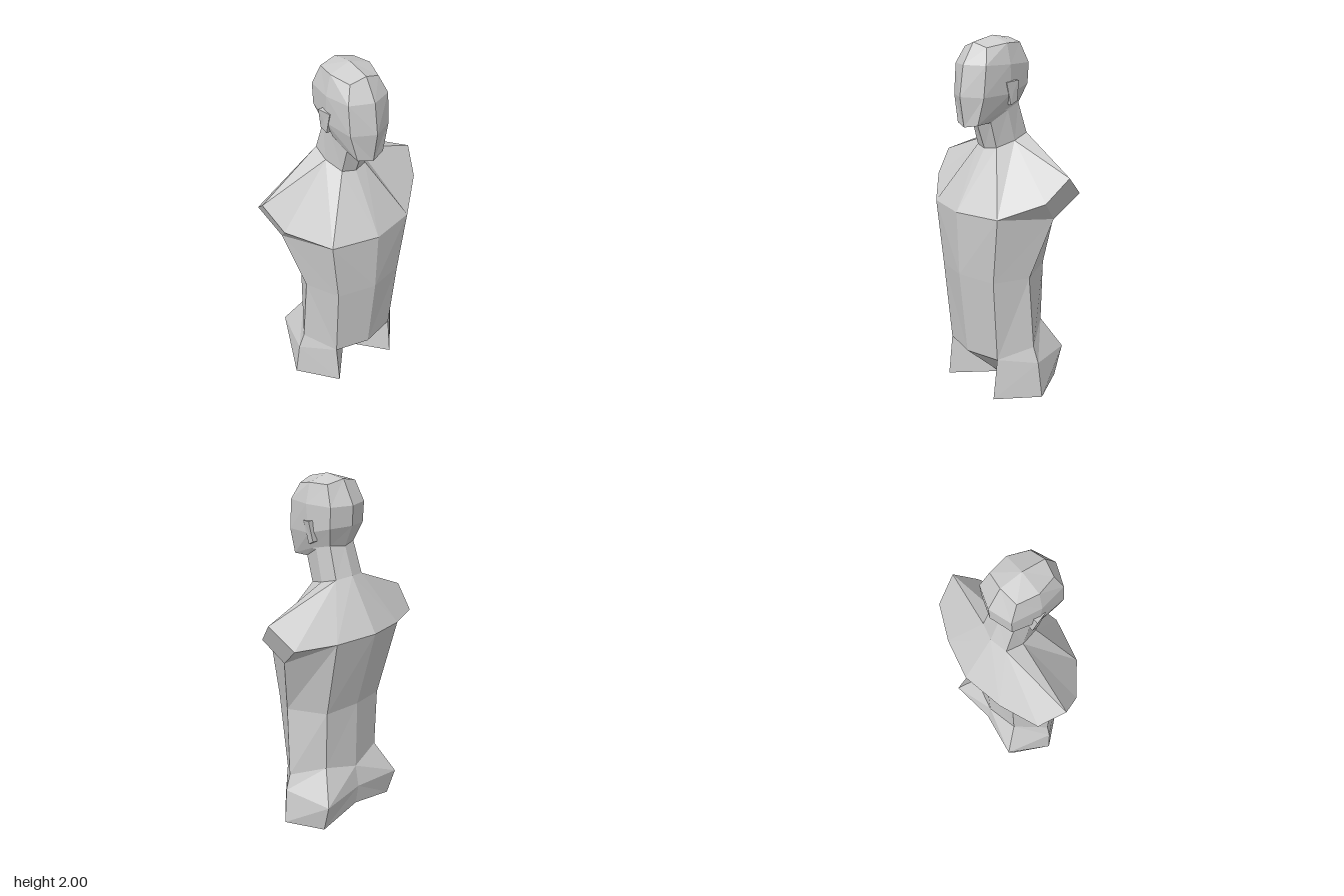
import * as THREE from 'three';

const material = new THREE.MeshStandardMaterial({ color: 0xcccccc, flatShading: true });

// Skins rows of points (top to bottom, each running front to back on the +x half)
// and mirrors the result; repeated points collapse quads into triangles.
function skin(name, rows, sides = [1, -1]) {
  const pos = [];
  const same = (p, q) => p.every((v, i) => v === q[i]);
  const tri = (p, q, r) => {
    if (same(p, q) || same(q, r) || same(p, r)) return;
    for (const s of sides) {
      for (const v of s > 0 ? [p, q, r] : [p, r, q]) pos.push(v[0] * s, v[1], v[2]);
    }
  };
  for (let i = 0; i < rows.length - 1; i++) {
    for (let j = 0; j < rows[i].length - 1; j++) {
      const a = rows[i][j], b = rows[i][j + 1];
      const e = rows[i + 1][j], d = rows[i + 1][j + 1];
      tri(a, e, b);
      tri(b, e, d);
    }
  }
  const geometry = new THREE.BufferGeometry();
  geometry.setAttribute('position', new THREE.Float32BufferAttribute(pos, 3));
  geometry.computeVertexNormals();
  const mesh = new THREE.Mesh(geometry, material);
  mesh.name = name;
  return mesh;
}

export function createModel() {
  const group = new THREE.Group();
  group.name = 'bust';

  // Rows list: front centre, front side, side, back side, back centre
  const jaw = [[0, 1.54, 0.25], [0.08, 1.555, 0.225], [0.105, 1.62, 0.06], [0.085, 1.65, -0.06], [0, 1.64, -0.085]];
  const neckTop = [[0, 1.535, 0.155], [0.075, 1.56, 0.13], [0.1, 1.62, 0.03], [0.085, 1.65, -0.06], [0, 1.64, -0.085]];
  const neckBase = [[0, 1.41, 0.11], [0.075, 1.42, 0.09], [0.105, 1.45, -0.015], [0.095, 1.48, -0.115], [0, 1.49, -0.14]];

  // Head, from crown to underside of the jaw
  group.add(skin('head', [
    Array(5).fill([0, 2, 0.05]),
    [[0, 1.97, 0.18], [0.085, 1.945, 0.165], [0.118, 1.965, 0.055], [0.098, 1.965, -0.055], [0, 1.985, -0.07]],
    [[0, 1.86, 0.25], [0.12, 1.86, 0.2], [0.145, 1.86, 0.055], [0.12, 1.86, -0.1], [0, 1.86, -0.14]],
    [[0, 1.7, 0.275], [0.118, 1.7, 0.215], [0.14, 1.71, 0.045], [0.118, 1.75, -0.095], [0, 1.755, -0.135]],
    jaw, neckTop,
  ]));
  group.add(skin('neck', [neckTop, neckBase]));

  // Ears: thin wedges flaring out toward the back
  const earOuter = [[0.143, 1.77, 0.08], [0.138, 1.65, 0.045], [0.145, 1.67, 0.005], [0.165, 1.78, 0.015]];
  const rim = [...earOuter, earOuter[0]].reverse();
  const earRows = [
    rim.map(([, y, z]) => [0.115, y, z]),
    rim,
    Array(5).fill([0.148, 1.72, 0.037]),
  ];
  for (const [name, s] of [['leftEar', 1], ['rightEar', -1]]) {
    const ear = skin(name, earRows, [s]);
    ear.material = material.clone();
    ear.material.side = THREE.DoubleSide;
    group.add(ear);
  }

  // Torso rows have seven columns; the side splits in three around the arm stump
  const widen = ([f, fs, s, bs, b]) => [f, fs, s, s, s, bs, b];
  const [nF, nFS, nS, nBS, nB] = neckBase;
  const chest = [0, 1.09, 0.312], chestSide = [0.255, 1.09, 0.25];
  const backSide = [0.23, 1.2, -0.265], back = [0, 1.21, -0.315];
  const groin = [0, 0.24, 0.25], thighTop = [0.2, 0.24, 0.2];
  const crotch = [0, 0.005, 0];
  group.add(skin('torso', [
    [nF, nFS, nS, nS, nBS, nBS, nB],
    // shoulder line with the top corners of the arm stump
    [chest, chestSide, [0.44, 1.185, 0.085], [0.49, 1.31, -0.035], [0.44, 1.195, -0.175], backSide, back],
    // armpit
    widen([chest, chestSide, [0.39, 1.07, -0.03], backSide, back]),
    // waist
    widen([[0, 0.73, 0.3], [0.212, 0.72, 0.24], [0.305, 0.73, 0.06], [0.2, 0.74, -0.155], [0, 0.75, -0.19]]),
    // hips and seat
    widen([groin, thighTop, [0.322, 0.31, 0.035], [0.2, 0.385, -0.145], [0, 0.33, -0.185]]),
    widen([groin, thighTop, [0.355, 0.22, 0.03], [0.28, 0.2, -0.25], [0, 0.2, -0.21]]),
    // cut thighs, closed toward the crotch
    widen([crotch, [0.2, 0, 0.23], [0.38, 0.01, 0.02], [0.27, 0.02, -0.2], [0, 0.07, -0.19]]),
    Array(7).fill(crotch),
  ]));

  return group;
}
